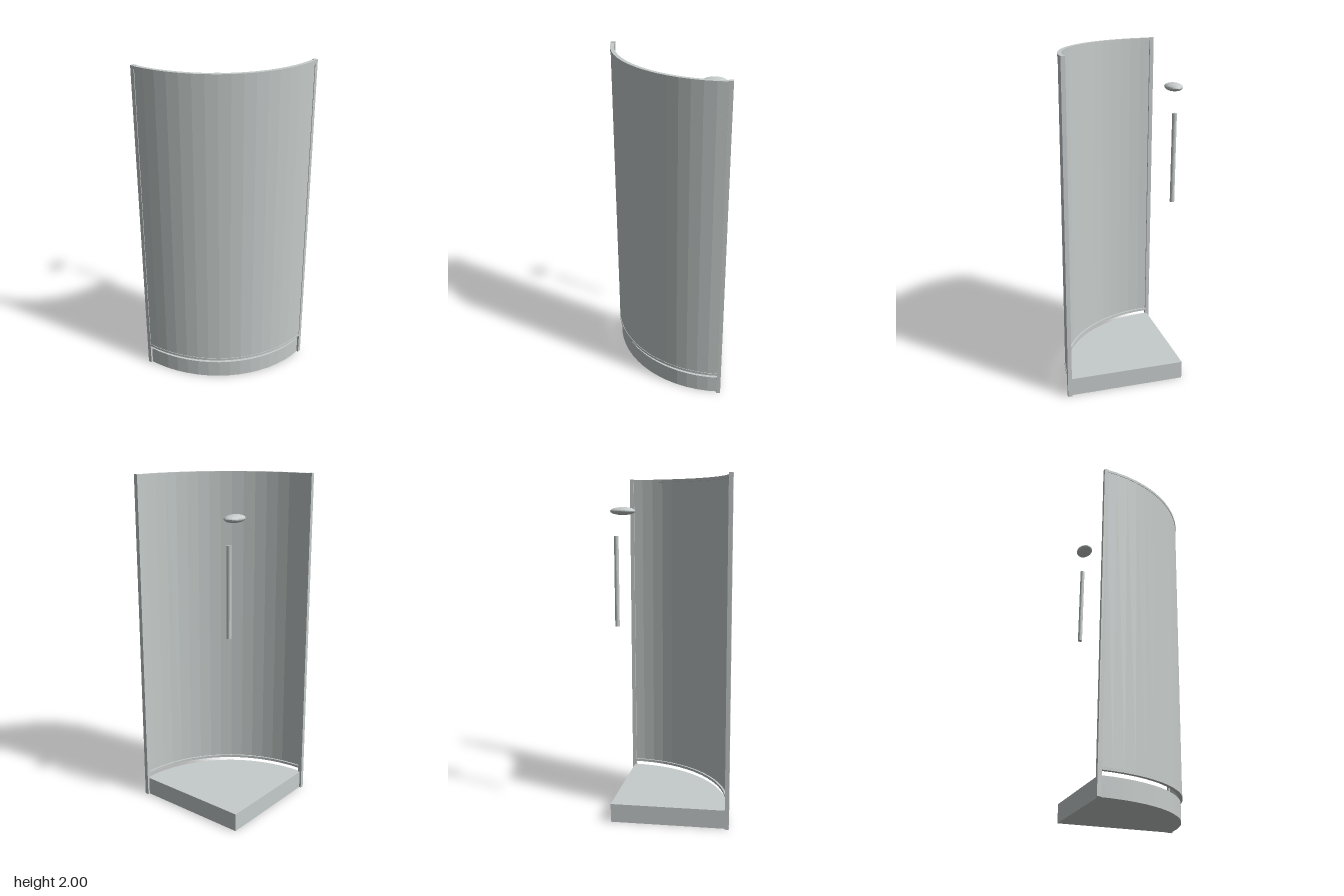
import * as THREE from 'three';

const CX = -0.357, CZ = -0.342; // wall corner, centre of the curved front
const SEGMENTS = 16;

export function createModel() {
  const group = new THREE.Group();
  group.name = 'cornerShower';
  const material = new THREE.MeshStandardMaterial({ color: 0xc6cccb, flatShading: true });
  material.name = 'paleGrey';

  const add = (name, geometry, x = 0, y = 0, z = 0) => {
    const mesh = new THREE.Mesh(geometry, material);
    mesh.name = name;
    mesh.position.set(x, y, z);
    group.add(mesh);
    return mesh;
  };

  // Points on the quarter ellipse, in plan
  const arc = (a, b) => Array.from({ length: SEGMENTS + 1 }, (_, i) => {
    const t = (i / SEGMENTS) * Math.PI / 2;
    return new THREE.Vector2(a * Math.cos(t), b * Math.sin(t));
  });

  // Extrude a plan outline upwards from y0 to y1 (plan y becomes +z)
  const upright = (name, points, y0, y1) => {
    const flipped = points.map((p) => new THREE.Vector2(p.x, -p.y));
    const geometry = new THREE.ExtrudeGeometry(new THREE.Shape(flipped), { depth: y1 - y0, bevelEnabled: false });
    geometry.rotateX(-Math.PI / 2);
    return add(name, geometry, CX, y0, CZ);
  };

  // Curved band between two insets from the outer ellipse
  const band = (name, outer, inner, y0, y1) => upright(name, [
    ...arc(0.723 - outer, 0.695 - outer),
    ...arc(0.723 - inner, 0.695 - inner).reverse(),
  ], y0, y1);

  // Tray
  upright('showerTray', [new THREE.Vector2(0, 0), ...arc(0.711, 0.682)], 0, 0.11);

  // Rails and curved glass
  band('bottomRail', 0, 0.023, 0.135, 0.15);
  band('topRail', 0, 0.023, 1.982, 1.998);
  band('curvedGlass', 0.003, 0.012, 0.15, 1.982);

  // Wall posts at both ends of the curve
  const post = new THREE.BoxGeometry(0.024, 2, 0.024);
  add('leftPost', post, 0.354, 1, -0.343);
  add('rightPost', post, -0.357, 1, 0.341);

  // Shower head and riser pole
  const head = add('showerHead', new THREE.SphereGeometry(1, 20, 12), -0.28, 1.8, -0.264);
  head.scale.set(0.048, 0.022, 0.072);
  add('riserPole', new THREE.CylinderGeometry(0.013, 0.013, 0.51, 16), -0.275, 1.407, -0.304);

  return group;
}
